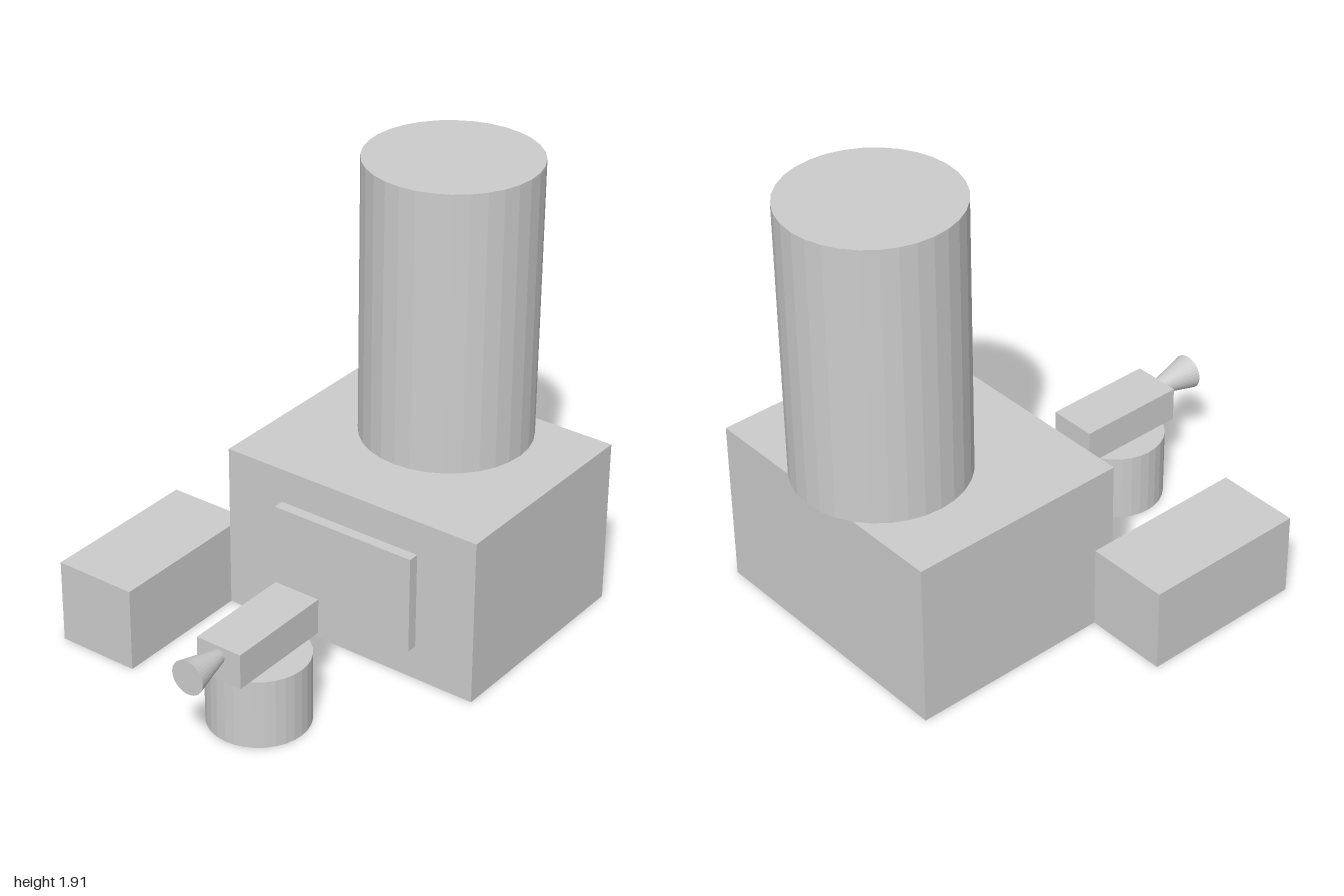
import * as THREE from 'three';

export function createModel() {
  const model = new THREE.Group();
  const grey = new THREE.MeshStandardMaterial({ color: 0xcccccc, flatShading: true });
  grey.name = 'plainGrey';

  function add(name, geometry, x, y, z) {
    const mesh = new THREE.Mesh(geometry, grey);
    mesh.name = name;
    mesh.position.set(x, y, z);
    model.add(mesh);
    return mesh;
  }

  // Box given by its extents on each axis
  function box(name, [x0, x1], [y0, y1], [z0, z1]) {
    return add(name, new THREE.BoxGeometry(x1 - x0, y1 - y0, z1 - z0),
      (x0 + x1) / 2, (y0 + y1) / 2, (z0 + z1) / 2);
  }

  // Upright cylinder standing on y0
  function drum(name, r, y0, y1, x, z) {
    return add(name, new THREE.CylinderGeometry(r, r, y1 - y0, 32), x, (y0 + y1) / 2, z);
  }

  const axisX = 0.178;

  // Furnace with its chimney and front door
  box('furnaceBody', [-0.418, 0.774], [0, 0.718], [-0.94, 0.014]);
  drum('chimney', 0.357, 0.718, 1.911, axisX, -0.643);
  box('furnaceDoor', [-0.15, 0.505], [0.15, 0.57], [0.014, 0.06]);

  // Trough beside the furnace
  box('trough', [-0.776, -0.418], [0, 0.36], [-0.076, 0.637]);

  // Anvil on a stump, its horn flaring towards the front
  drum('stump', 0.208, 0, 0.299, axisX, 0.583);
  box('anvilBlock', [0.075, 0.281], [0.299, 0.449], [0.344, 0.82]);
  const horn = add('anvilHorn', new THREE.CylinderGeometry(0.073, 0.029, 0.18, 32), axisX, 0.405, 0.91);
  horn.rotation.x = Math.PI / 2;

  return model;
}
